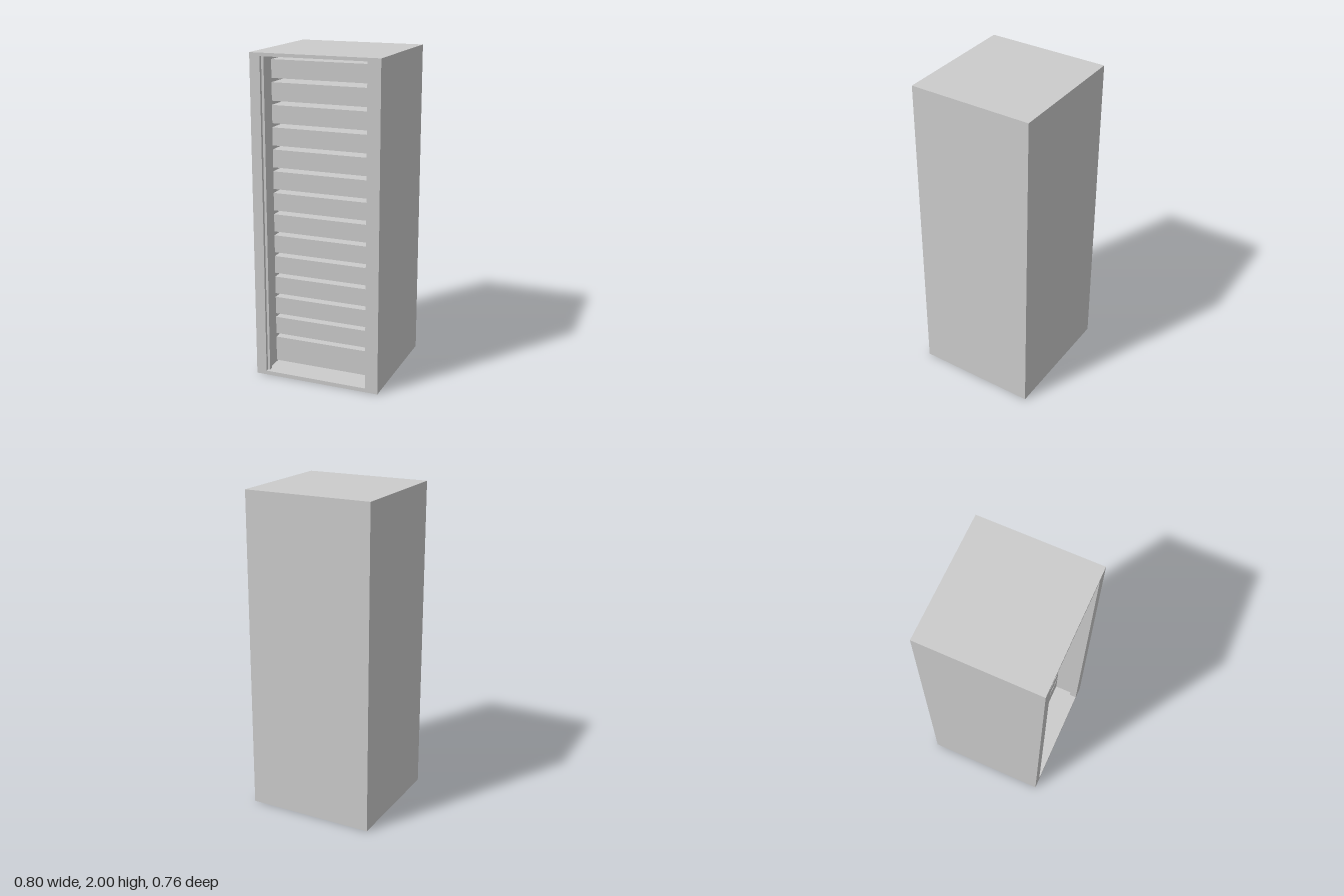
import * as THREE from 'three';

const material = new THREE.MeshStandardMaterial({ color: 0xcccccc, flatShading: true });

// Box given by its minimum and maximum corners
function box(parent, name, [x0, y0, z0], [x1, y1, z1]) {
  const geometry = new THREE.BoxGeometry(x1 - x0, y1 - y0, z1 - z0);
  const mesh = new THREE.Mesh(geometry, material);
  mesh.name = name;
  mesh.position.set((x0 + x1) / 2, (y0 + y1) / 2, (z0 + z1) / 2);
  parent.add(mesh);
  return mesh;
}

export function createModel() {
  const model = new THREE.Group();
  model.name = 'equipmentRack';
  const W = 0.4, H = 2, D = 0.38;
  const frameBack = 0.335, inner = 0.34;

  // Cabinet shell, open at the front
  const cabinet = new THREE.Group();
  cabinet.name = 'cabinet';
  model.add(cabinet);
  box(cabinet, 'floor', [-W, 0, -D], [W, 0.02, frameBack]);
  box(cabinet, 'roof', [-W, H - 0.02, -D], [W, H, frameBack]);
  box(cabinet, 'backPanel', [-inner, 0.02, -D], [inner, H - 0.02, -D + 0.02]);
  box(cabinet, 'leftWall', [inner, 0.02, -D], [W, H - 0.02, frameBack]);
  box(cabinet, 'rightWall', [-W, 0.02, -D], [-inner, H - 0.02, frameBack]);

  // Front frame: rails, stiles and a narrow set-back hinge strip
  const frame = new THREE.Group();
  frame.name = 'frontFrame';
  model.add(frame);
  box(frame, 'bottomRail', [-W, 0, frameBack], [W, 0.025, D]);
  box(frame, 'topRail', [-W, H - 0.02, frameBack], [W, H, D]);
  box(frame, 'leftStile', [0.32, 0.025, frameBack], [W, H - 0.02, D]);
  box(frame, 'rightStile', [-W, 0.025, frameBack], [-0.335, H - 0.02, D]);
  box(frame, 'hingeStrip', [-0.335, 0.025, frameBack], [-0.32, H - 0.02, 0.36]);

  // Stack of rack units with a gap above each; the lowest one is taller
  const units = new THREE.Group();
  units.name = 'rackUnits';
  model.add(units);
  const count = 14, pitch = 0.135, gap = 0.025;
  for (let i = 0; i < count; i++) {
    const top = 0.19 + i * pitch;
    const bottom = i === 0 ? 0.03 : top - pitch + gap;
    box(units, `rackUnit${i + 1}`, [-inner, bottom, -D + 0.02], [inner, top, 0.22]);
  }
  return model;
}
